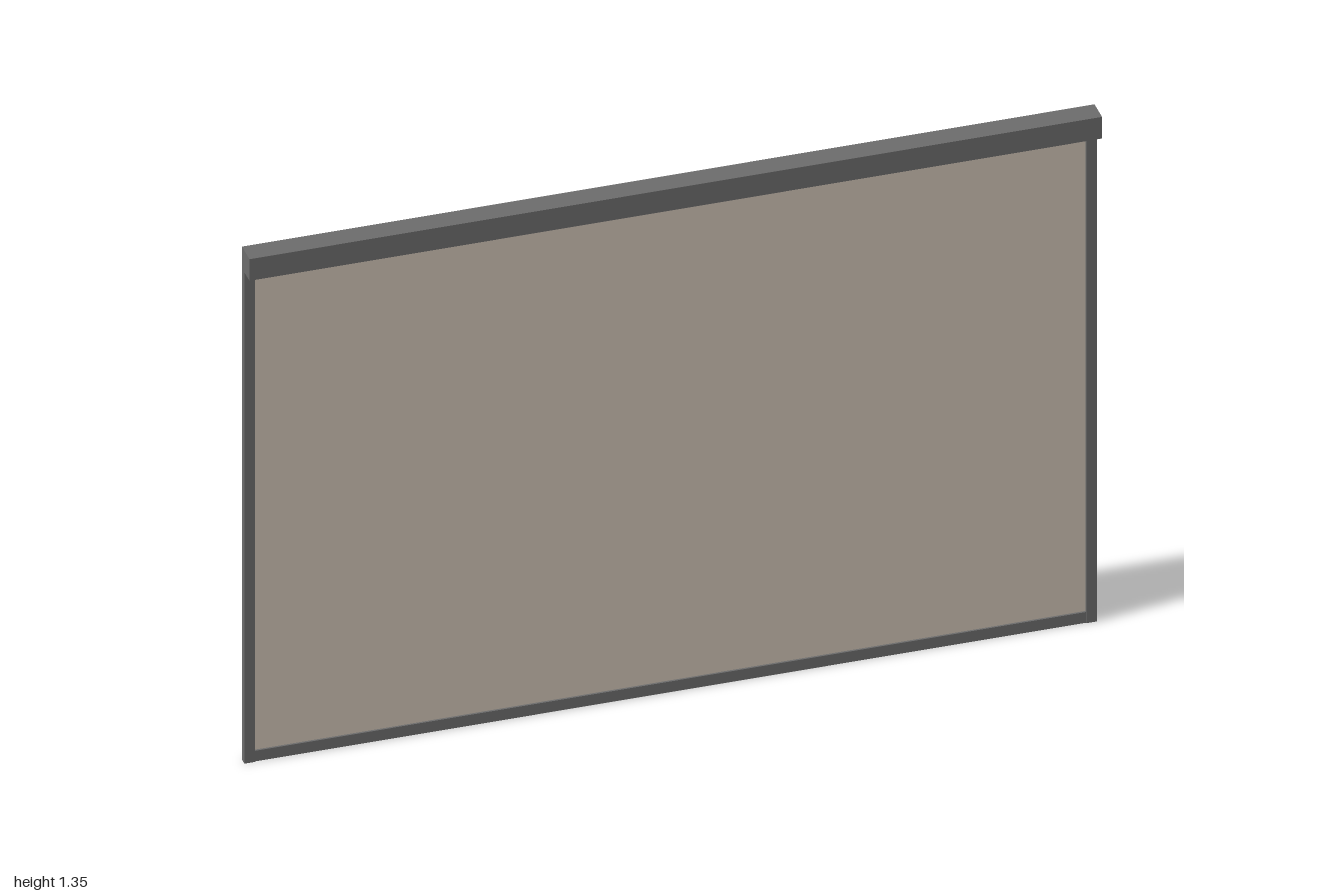
import * as THREE from 'three';

export function createModel() {
  const group = new THREE.Group();
  const frame = new THREE.MeshStandardMaterial({ color: 0x6c6c6c });
  const cloth = new THREE.MeshStandardMaterial({ color: 0xd0c4b6 });

  // Box given by its extents on each axis
  function box(name, material, [x0, x1], [y0, y1], [z0, z1]) {
    const mesh = new THREE.Mesh(new THREE.BoxGeometry(x1 - x0, y1 - y0, z1 - z0), material);
    mesh.position.set((x0 + x1) / 2, (y0 + y1) / 2, (z0 + z1) / 2);
    mesh.name = name;
    group.add(mesh);
  }

  const back = -0.028, railFront = -0.01, railWidth = 0.025;
  const top = 1.352, housingBottom = 1.295, inner = 1 - railWidth;

  // Roller housing, flush with the back of the rails
  box('rollerHousing', frame, [-1, 1], [housingBottom, top], [back, 0.028]);

  // Side guide rails
  box('leftRail', frame, [inner, 1], [0, housingBottom], [back, railFront]);
  box('rightRail', frame, [-1, -inner], [0, housingBottom], [back, railFront]);

  // Weighted bar along the lower hem
  box('bottomBar', frame, [-inner, inner], [0, 0.028], [back + 0.002, railFront - 0.002]);

  // Thin screen cloth in the middle of the rails
  box('screenCloth', cloth, [-inner, inner], [0.028, housingBottom], [-0.021, -0.017]);

  return group;
}
